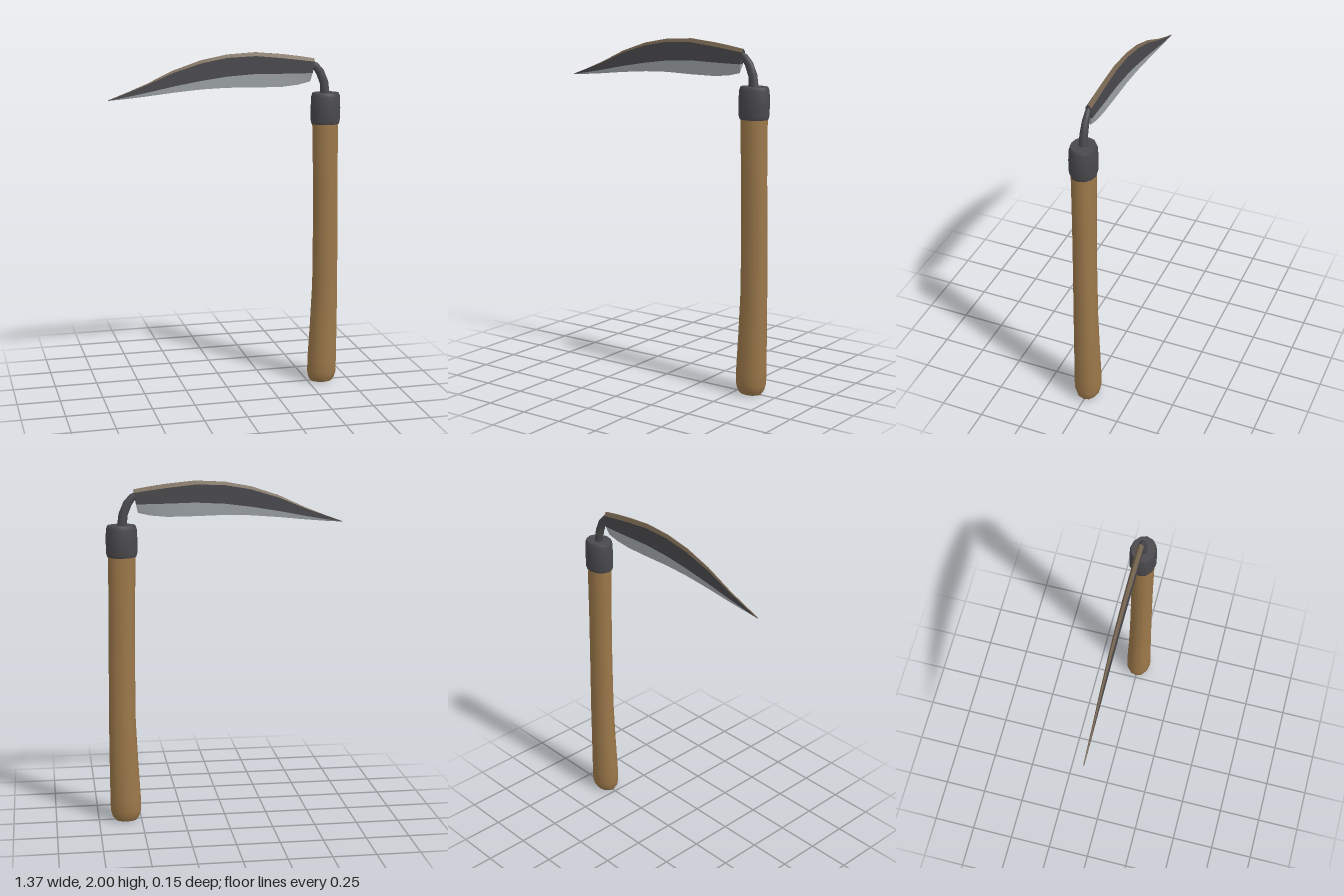
import * as THREE from 'three';

const SIDES = 12;

// Smooth surface through rows of points; rows run top to bottom, points left to right
function surface(rows, closed = false) {
  const n = rows[0].length, index = [];
  for (let r = 0; r < rows.length - 1; r++) {
    for (let i = 0; i < (closed ? n : n - 1); i++) {
      const j = (i + 1) % n;
      const a = r * n + i, b = (r + 1) * n + i, c = (r + 1) * n + j, d = r * n + j;
      index.push(a, b, c, a, c, d);
    }
  }
  const g = new THREE.BufferGeometry();
  g.setAttribute('position', new THREE.Float32BufferAttribute(rows.flat(2), 3));
  g.setIndex(index);
  g.computeVertexNormals();
  return g;
}

// Ellipse around (x, y); the unit vector (nx, ny) is its width direction
function ring(x, y, rx, rz, nx = 1, ny = 0) {
  return Array.from({ length: SIDES }, (_, i) => {
    const a = (i / SIDES) * Math.PI * 2, s = Math.sin(a) * rx;
    return [x + nx * s, y + ny * s, Math.cos(a) * rz];
  });
}

export function createModel() {
  const model = new THREE.Group();
  const mat = (name, color) => {
    const m = new THREE.MeshStandardMaterial({ color });
    m.name = name;
    return m;
  };
  const wood = mat('wood', 0x9c784a);
  const iron = mat('dark iron', 0x4a494d);
  const steel = mat('sharpened steel', 0xa6acb0);
  const spine = mat('rusty spine', 0x75644f);

  const add = (parent, name, geometry, material) => {
    const mesh = new THREE.Mesh(geometry, material);
    mesh.name = name;
    parent.add(mesh);
  };
  const group = (name) => {
    const g = new THREE.Group();
    g.name = name;
    model.add(g);
    return g;
  };

  // Closed column of elliptical sections [y, centre x, half width, half depth], bottom up
  const column = (name, sections, material) => {
    const g = group(name);
    const rows = sections.map(([y, x, rx, rz]) => ring(x, y, rx, rz)).reverse();
    const [y1, x1] = sections[sections.length - 1], [y0, x0] = sections[0];
    add(g, name + 'Side', surface(rows, true), material);
    add(g, name + 'Top', surface([ring(x1, y1, 0, 0), rows[0]], true), material);
    add(g, name + 'Bottom', surface([rows[rows.length - 1], ring(x0, y0, 0, 0)], true), material);
  };

  column('handle', [
    [0, 0.588, 0.066, 0.052], [0.02, 0.589, 0.08, 0.066], [0.06, 0.59, 0.09, 0.077],
    [0.13, 0.591, 0.09, 0.077], [0.35, 0.597, 0.084, 0.072], [0.6, 0.602, 0.078, 0.068],
    [0.95, 0.599, 0.076, 0.065], [1.25, 0.594, 0.075, 0.065], [1.59, 0.588, 0.079, 0.067],
  ], wood);

  column('collar', [
    [1.575, 0.588, 0.082, 0.07], [1.595, 0.588, 0.088, 0.076], [1.67, 0.588, 0.09, 0.077],
    [1.735, 0.588, 0.087, 0.074], [1.755, 0.588, 0.079, 0.066],
  ], iron);

  // Bent tang from the blade down into the collar: x, y, half width, half depth
  const tang = [
    [0.49, 1.928, 0.018, 0.013], [0.522, 1.914, 0.021, 0.016], [0.552, 1.876, 0.025, 0.019],
    [0.577, 1.815, 0.026, 0.022], [0.585, 1.74, 0.028, 0.025],
  ];
  add(model, 'tang', surface(tang.map(([x, y, rx, rz], i) => {
    const p = tang[Math.max(i - 1, 0)], q = tang[Math.min(i + 1, tang.length - 1)];
    const dx = q[0] - p[0], dy = q[1] - p[1], l = Math.hypot(dx, dy);
    return ring(x, y, rx, rz, -dy / l, dx / l);
  }), true), iron);

  // Blade profile from tip to heel: x, then heights of ridge, shoulder, bevel and edge
  const profile = [
    [-0.685, 1.753, 1.752, 1.751, 1.75], [-0.58, 1.792, 1.79, 1.768, 1.757],
    [-0.47, 1.836, 1.83, 1.788, 1.767], [-0.31, 1.91, 1.897, 1.82, 1.784],
    [-0.15, 1.963, 1.946, 1.847, 1.797], [0, 1.991, 1.973, 1.867, 1.802],
    [0.167, 2, 1.979, 1.877, 1.798], [0.325, 1.985, 1.963, 1.874, 1.797],
    [0.42, 1.972, 1.951, 1.873, 1.806], [0.515, 1.956, 1.938, 1.873, 1.823],
  ];
  const thickness = [0.25, 1, 0.95, 0.03];
  const heelShift = [0, 0, -0.012, -0.022];
  const line = (k, side) => profile.map((p, i) => {
    const t = 0.003 + 0.014 * (p[0] + 0.685) / 1.2;
    return [p[0] + (i === profile.length - 1 ? heelShift[k] : 0), p[k + 1], side * t * thickness[k]];
  });
  const front = [0, 1, 2, 3].map((k) => line(k, 1));
  const back = [0, 1, 2, 3].map((k) => line(k, -1));

  const blade = group('blade');
  const strips = [['spineBevel', spine], ['bladeBody', iron], ['cuttingBevel', steel]];
  strips.forEach(([name, material], k) => {
    add(blade, name + 'Front', surface([front[k], front[k + 1]]), material);
    add(blade, name + 'Back', surface([back[k + 1], back[k]]), material);
    // Heel face closing this strip
    const end = [k, k + 1].map((r) => [front[r].at(-1), back[r].at(-1)]);
    add(blade, name + 'Heel', surface(end), k === 2 ? steel : iron);
  });
  add(blade, 'spineRidge', surface([back[0], front[0]]), spine);
  add(blade, 'cuttingEdge', surface([front[3], back[3]]), steel);

  return model;
}
